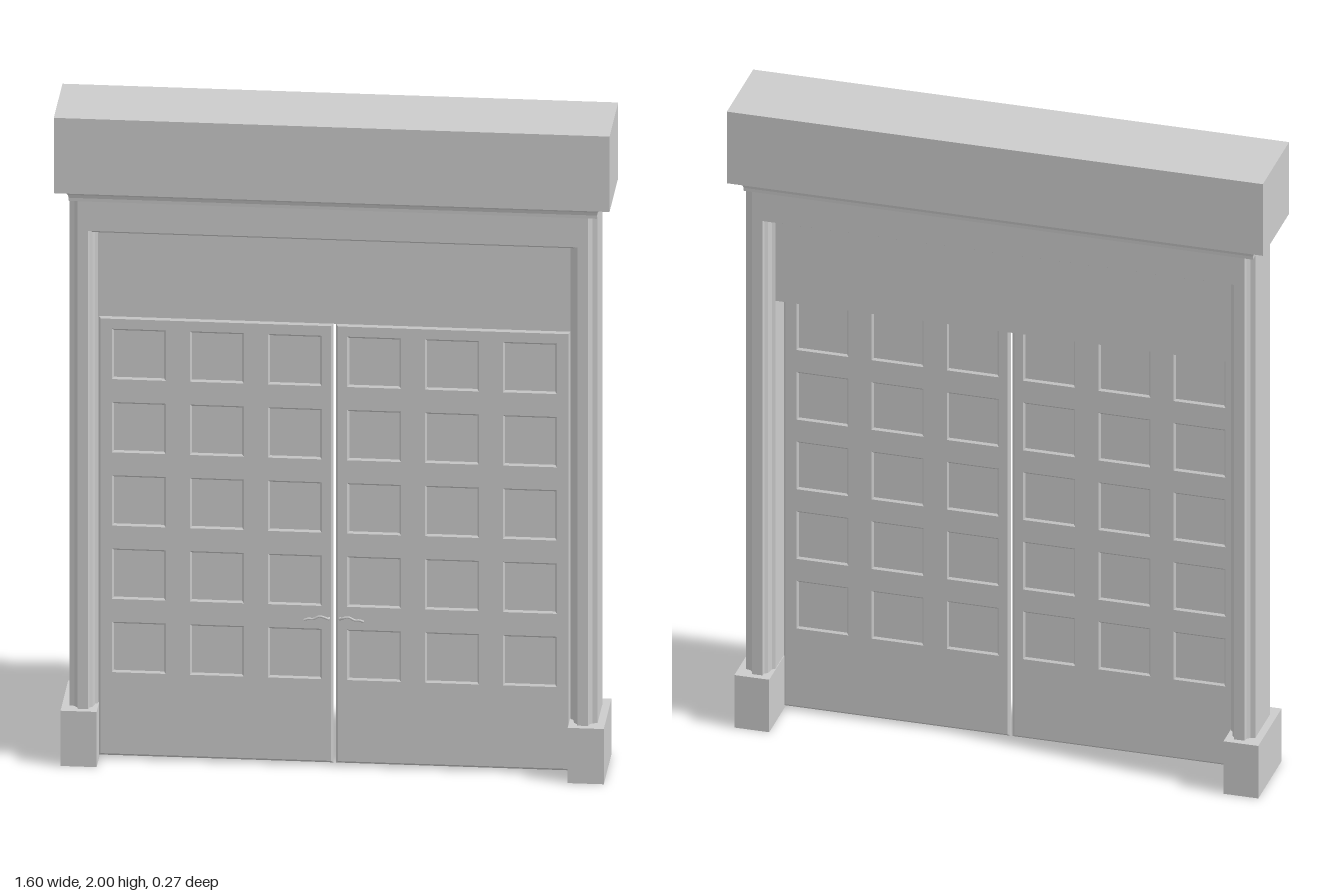
import * as THREE from 'three';

export function createModel() {
  const model = new THREE.Group();
  const material = new THREE.MeshStandardMaterial({ color: 0xcccccc, side: THREE.DoubleSide });

  const add = (name, geometry, parent = model) => {
    const mesh = new THREE.Mesh(geometry, material);
    mesh.name = name;
    parent.add(mesh);
    return mesh;
  };
  // Box given by its limits on each axis
  const box = (x0, x1, y0, y1, z0, z1) =>
    new THREE.BoxGeometry(x1 - x0, y1 - y0, z1 - z0)
      .translate((x0 + x1) / 2, (y0 + y1) / 2, (z0 + z1) / 2);
  const polygon = (points) => new THREE.Shape(points.map(([a, b]) => new THREE.Vector2(a, b)));
  const rect = (Type, x0, x1, y0, y1) =>
    new Type([[x0, y0], [x1, y0], [x1, y1], [x0, y1]].map(([a, b]) => new THREE.Vector2(a, b)));
  const extrude = (shape, depth) => new THREE.ExtrudeGeometry(shape, { depth, bevelEnabled: false });

  // Header block
  add('header', box(-0.8, 0.8, 1.768, 2, -0.135, 0.135));

  // Coved crown moulding: a square lathe stretched along x
  const crownPoints = [[0.07, 1.732], [0.1, 1.732], [0.1005, 1.742], [0.103, 1.752], [0.108, 1.759], [0.114, 1.762], [0.114, 1.77]]
    .map(([offset, y]) => new THREE.Vector2(offset * Math.SQRT2, y));
  const crown = new THREE.LatheGeometry(crownPoints, 4, Math.PI / 4).toNonIndexed();
  const position = crown.attributes.position;
  for (let i = 0; i < position.count; i++) {
    position.setX(i, position.getX(i) + Math.sign(position.getX(i)) * 0.66);
  }
  crown.computeVertexNormals();
  add('crownMoulding', crown);

  // Door posts: moulded inside reveal, coved outside corners, same front and back
  const halfPost = [[0.68, 0.05], [0.688, 0.056], [0.693, 0.08], [0.702, 0.088], [0.704, 0.1],
    [0.735, 0.1], [0.737, 0.088], [0.746, 0.078], [0.76, 0.075]];
  const postProfile = [...halfPost, ...halfPost.map(([x, z]) => [x, -z]).reverse()];
  const post = extrude(polygon(postProfile), 1.745).rotateX(-Math.PI / 2).translate(0, 0.02, 0);

  // Hollow plinth, open underneath
  const plinthRing = rect(THREE.Shape, 0.678, 0.782, -0.12, 0.12);
  plinthRing.holes.push(rect(THREE.Path, 0.69, 0.77, -0.108, 0.108));
  const plinthWalls = extrude(plinthRing, 0.16).rotateX(-Math.PI / 2);
  const plinthCap = box(0.678, 0.782, 0.16, 0.17, -0.12, 0.12);

  ['left', 'right'].forEach((side, i) => {
    const jamb = new THREE.Group();
    jamb.name = side + 'Jamb';
    jamb.rotation.y = i * Math.PI;
    add(side + 'Post', post, jamb);
    add(side + 'PlinthWalls', plinthWalls, jamb);
    add(side + 'PlinthCap', plinthCap, jamb);
    model.add(jamb);
  });

  // Lintel over the opening, with the same reveal along its lower edge
  const halfLintel = [[0.05, 1.62], [0.056, 1.626], [0.08, 1.631], [0.088, 1.64], [0.1, 1.642], [0.1, 1.766]];
  const lintelProfile = [...halfLintel, ...halfLintel.map(([z, y]) => [-z, y]).reverse()];
  add('lintel', extrude(polygon(lintelProfile), 1.46).rotateY(Math.PI / 2).translate(-0.73, 0, 0));

  // Deep solid panel above the doors
  add('transom', box(-0.685, 0.685, 1.362, 1.63, -0.05, 0.05));

  // Door leaves with a grid of bevelled openings, filled by thin panels
  const bevel = 0.007;
  const leaf = rect(THREE.Shape, 0.003 + bevel, 0.68 - bevel, 0.008 + bevel, 1.36 - bevel);
  const half = 0.0775;
  const centres = [];
  for (let row = 0; row < 5; row++) {
    for (let column = 0; column < 3; column++) {
      centres.push([0.114 + column * 0.2245, 0.343 + row * 0.2255]);
    }
  }
  for (const [x, y] of centres) {
    leaf.holes.push(rect(THREE.Path, x - half, x + half, y - half, y + half));
  }
  const leafGeometry = new THREE.ExtrudeGeometry(leaf, {
    depth: 0.002, bevelThickness: 0.007, bevelSize: bevel, bevelSegments: 1,
  }).translate(0, 0, 0.038);

  // Wavy lever handle with a short stem
  const leverCurve = new THREE.CatmullRomCurve3([
    [0.016, 0.455, 0.046], [0.017, 0.457, 0.062], [0.026, 0.463, 0.067],
    [0.042, 0.466, 0.067], [0.06, 0.458, 0.067], [0.074, 0.458, 0.067], [0.086, 0.454, 0.067],
  ].map((p) => new THREE.Vector3(...p)));
  const lever = new THREE.TubeGeometry(leverCurve, 24, 0.0035, 8);

  const mirrorX = (geometry) => {
    const mirrored = geometry.clone().scale(-1, 1, 1);
    const flat = mirrored.index ? mirrored.toNonIndexed() : mirrored;
    // Swap two corners of every triangle to keep faces outward
    for (const attribute of Object.values(flat.attributes)) {
      const { array, itemSize } = attribute;
      for (let i = 0; i < attribute.count; i += 3) {
        for (let k = 0; k < itemSize; k++) {
          const a = (i + 1) * itemSize + k;
          const b = (i + 2) * itemSize + k;
          [array[a], array[b]] = [array[b], array[a]];
        }
      }
    }
    return flat;
  };

  for (const [side, fit] of [['left', (g) => g], ['right', mirrorX]]) {
    const door = new THREE.Group();
    door.name = side + 'Door';
    add(side + 'DoorLeaf', fit(leafGeometry), door);
    for (const [x, y] of centres) {
      add(side + 'DoorPanel', fit(box(x - half, x + half, y - half, y + half, 0.0365, 0.0415)), door);
    }
    add(side + 'Handle', fit(lever), door);
    model.add(door);
  }

  return model;
}
